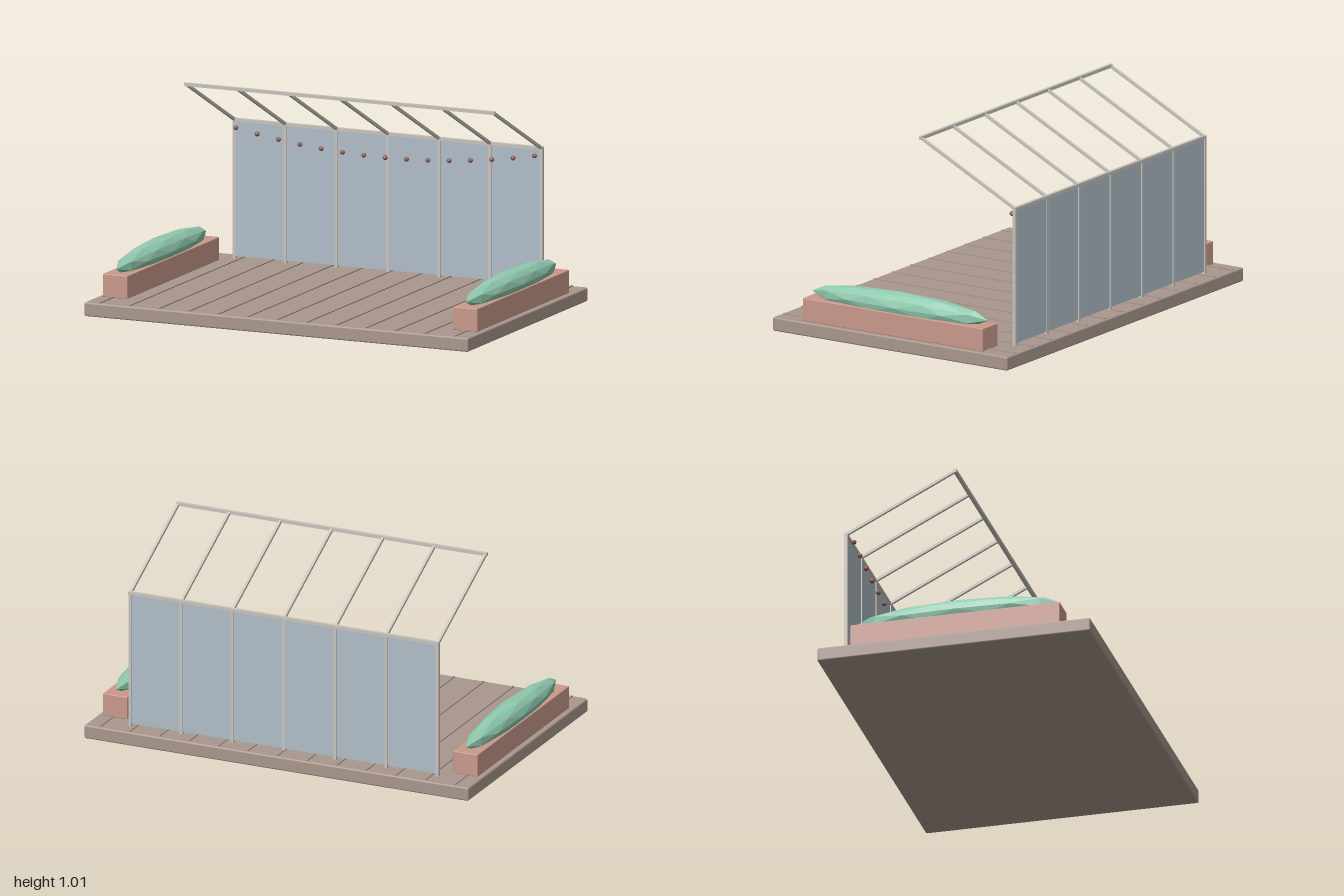
import * as THREE from 'three';
import { RoundedBoxGeometry } from 'three/addons/geometries/RoundedBoxGeometry.js';

function material(name, color, flatShading = false) {
  const m = new THREE.MeshStandardMaterial({ color, flatShading });
  m.name = name;
  return m;
}

export function createModel() {
  const model = new THREE.Group();
  model.name = 'terrace';

  const deckMat = material('deck brown', 0xa9978d);
  const planterMat = material('terracotta', 0xc99a8c);
  const leafMat = material('foliage green', 0x90caaf, true);
  const frameMat = material('frame grey', 0xc8c4bc);
  const glassMat = material('glass blue', 0xb0bdc8);
  const bulbMat = material('bulb brown', 0x93604f, true);

  function add(name, geometry, mat, x, y, z, parent = model) {
    const mesh = new THREE.Mesh(geometry, mat);
    mesh.name = name;
    mesh.position.set(x, y, z);
    parent.add(mesh);
    return mesh;
  }
  const box = (w, h, d) => new THREE.BoxGeometry(w, h, d);

  // Deck slab with raised battens running front to back
  const deckTop = 0.067;
  add('deck', new RoundedBoxGeometry(2, deckTop, 1.333, 2, 0.008), deckMat, 0, deckTop / 2, 0);
  for (let i = -6; i <= 6; i++) {
    add('deckBatten', box(0.01, 0.008, 1.313), deckMat, i * 2 / 13, deckTop + 0.001, 0);
  }

  // Planters and faceted hedges on both sides
  for (const side of [-1, 1]) {
    const planter = new THREE.Group();
    planter.name = side > 0 ? 'leftPlanter' : 'rightPlanter';
    planter.position.x = side * 0.912;
    model.add(planter);
    add('planterBox', new RoundedBoxGeometry(0.128, 0.112, 1.023, 2, 0.004), planterMat, 0, 0.122, 0, planter);
    const hedge = add('hedge', new THREE.IcosahedronGeometry(1, 1), leafMat, 0, 0.203, 0, planter);
    hedge.scale.set(0.066, 0.067, 0.5);
  }

  // Glazed back wall: posts, rail and panes
  const wallZ = -0.578, wallTop = 0.735, bays = 6, bay = 1.6 / bays;
  const eaveY = 1.003, eaveZ = -0.044;
  const rise = eaveY - wallTop, run = eaveZ - wallZ;
  for (let i = 0; i <= bays; i++) {
    const x = -0.8 + i * bay;
    add('post', box(0.015, wallTop - deckTop, 0.017), frameMat, x, (wallTop + deckTop) / 2, wallZ);
    // Sloping rafter from the wall to the raised front beam
    const rafter = add('rafter', box(0.013, 0.013, Math.hypot(rise, run)), frameMat,
      x, (wallTop + eaveY) / 2, (wallZ + eaveZ) / 2);
    rafter.rotation.x = -Math.atan2(rise, run);
    if (i < bays) {
      add('glassPane', box(bay - 0.015, 0.65, 0.008), glassMat, x + bay / 2, 0.404, wallZ);
    }
  }
  add('wallRail', box(1.616, 0.015, 0.017), frameMat, 0, wallTop, wallZ);
  add('frontBeam', box(1.616, 0.016, 0.016), frameMat, 0, eaveY, eaveZ);

  // Sagging row of small lights in front of the wall
  const bulb = new THREE.IcosahedronGeometry(0.012, 1);
  for (let i = 0; i < 15; i++) {
    const t = (i - 7) / 7;
    add('lightBulb', bulb, bulbMat, t * 0.778, 0.627 + 0.076 * t * t, -0.545);
  }

  return model;
}
